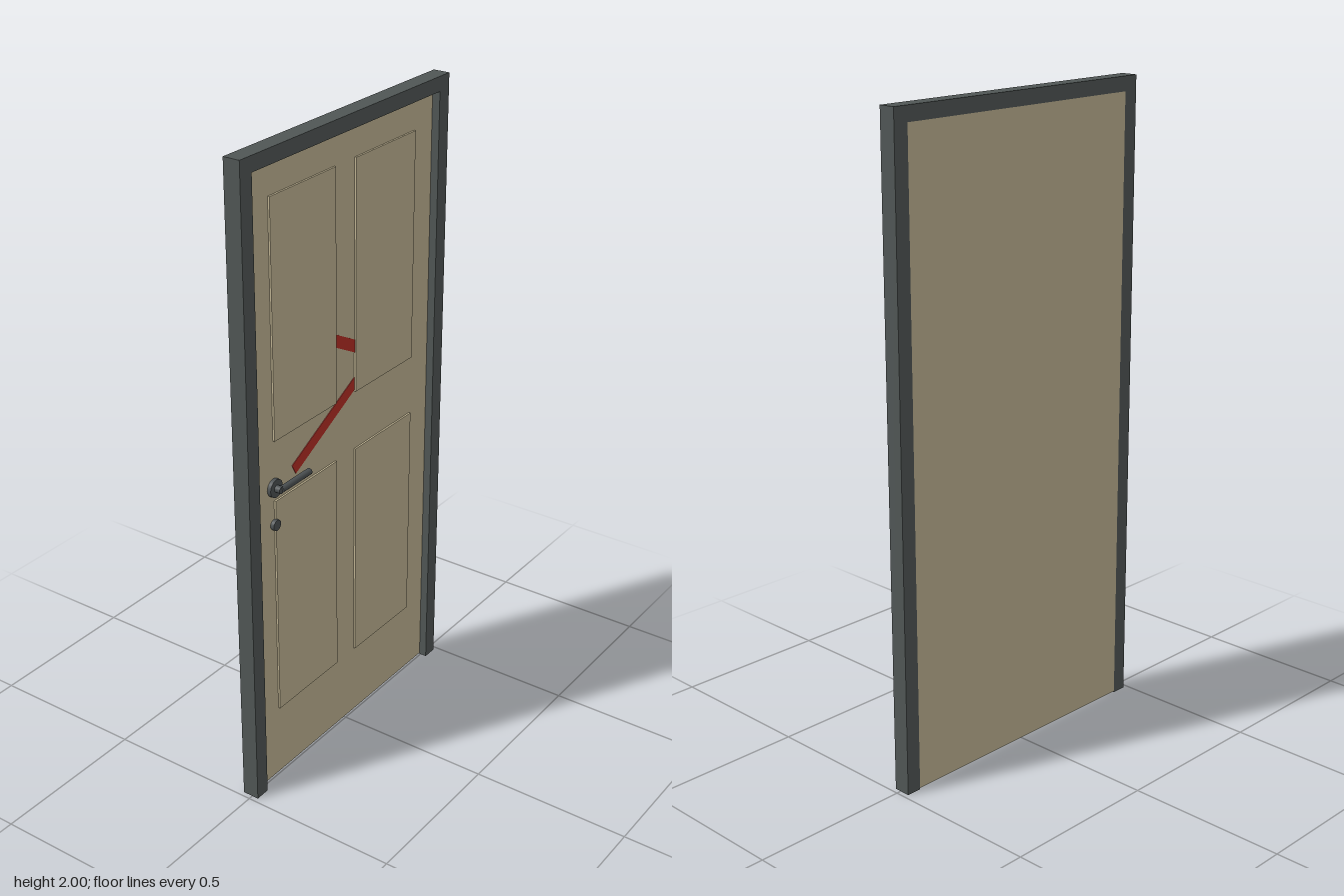
import * as THREE from 'three';

const mat = (name, color) => {
  const m = new THREE.MeshStandardMaterial({ color });
  m.name = name;
  return m;
};

export function createModel() {
  const door = new THREE.Group();
  door.name = 'door';
  const frameGrey = mat('frameGrey', 0x505655);
  const leafTan = mat('leafTan', 0xbfb392);
  const stripeRed = mat('stripeRed', 0xb42d24);
  const metalGrey = mat('metalGrey', 0x4b5052);

  const BACK = -0.032, FRAME_FRONT = 0.021, FACE = -0.004;

  const add = (name, geo, material, x, y, z, parent = door) => {
    const mesh = new THREE.Mesh(geo, material);
    mesh.name = name;
    mesh.position.set(x, y, z);
    parent.add(mesh);
    return mesh;
  };
  // Box given by its limits on each axis
  const slab = (name, material, [x0, x1], [y0, y1], [z0, z1]) =>
    add(name, new THREE.BoxGeometry(x1 - x0, y1 - y0, z1 - z0), material,
      (x0 + x1) / 2, (y0 + y1) / 2, (z0 + z1) / 2);
  // Disc or rod lying along x
  const disc = (name, r, x0, x1, y, z, parent) =>
    add(name, new THREE.CylinderGeometry(r, r, x1 - x0, 24).rotateZ(Math.PI / 2),
      metalGrey, (x0 + x1) / 2, y, z, parent);

  // Frame: one extruded arch shape, open at the floor
  const arch = new THREE.Shape([
    [-0.485, 0], [-0.437, 0], [-0.437, 1.955], [0.437, 1.955],
    [0.437, 0], [0.485, 0], [0.485, 2], [-0.485, 2],
  ].map(([a, b]) => new THREE.Vector2(a, b)));
  const frameGeo = new THREE.ExtrudeGeometry(arch, { depth: FRAME_FRONT - BACK, bevelEnabled: false });
  frameGeo.rotateY(Math.PI / 2);
  add('frame', frameGeo, frameGrey, BACK, 0, 0);

  // Door leaf, flush with the frame at the back
  slab('leaf', leafTan, [BACK, FACE], [0.004, 1.955], [-0.437, 0.437]);

  // Four raised panels
  for (const [y0, y1] of [[0.24, 0.955], [1.145, 1.86]])
    for (const side of [-1, 1]) {
      const z = [0.048 * side, 0.343 * side].sort((a, b) => a - b);
      slab('panel', leafTan, [FACE - 0.001, FACE + 0.006], [y0, y1], z);
    }

  // Red diagonal stripes, passing beneath the panels
  const stripe = (z0, y0, z1, y1) => {
    const length = Math.hypot(z1 - z0, y1 - y0);
    const mesh = add('stripe', new THREE.BoxGeometry(0.002, 0.036, length), stripeRed,
      FACE + 0.001, (y0 + y1) / 2, (z0 + z1) / 2);
    mesh.rotation.x = -Math.atan2(y1 - y0, z1 - z0);
  };
  stripe(0.25, 1.015, -0.15, 1.225);
  stripe(0.15, 1.396, -0.3, 1.157);

  // Lever handle: rosette, neck and lever
  const handle = new THREE.Group();
  handle.name = 'handle';
  door.add(handle);
  disc('rosette', 0.028, FACE, FACE + 0.012, 1, 0.345, handle);
  disc('neck', 0.011, FACE, 0.026, 1, 0.345, handle);
  add('lever', new THREE.CylinderGeometry(0.01, 0.01, 0.134, 20).rotateX(Math.PI / 2),
    metalGrey, 0.022, 1, 0.276, handle);

  // Lock below the handle
  disc('lock', 0.017, FACE, FACE + 0.012, 0.88, 0.345);

  return door;
}
